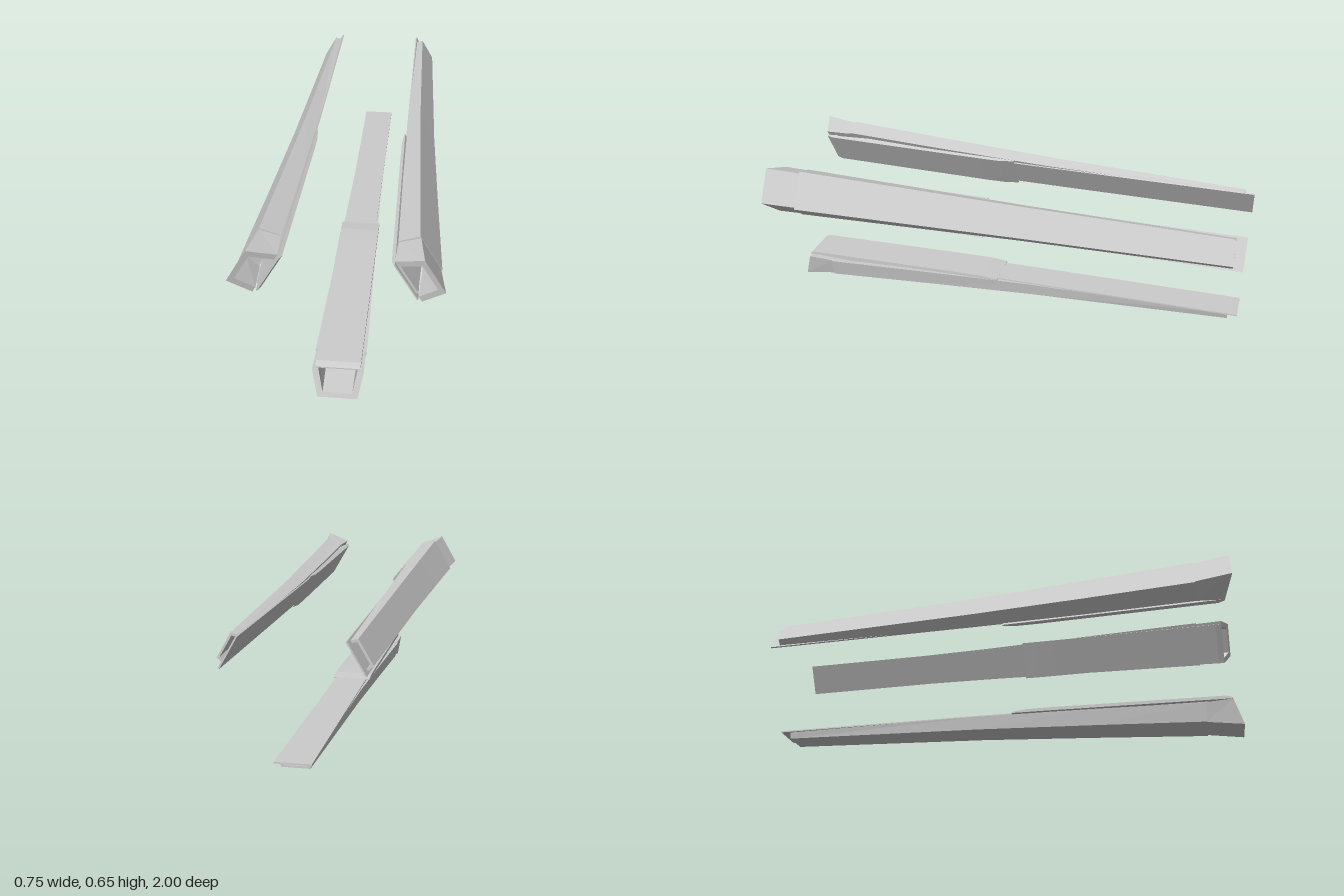
import * as THREE from 'three';

const material = new THREE.MeshStandardMaterial({ color: 0xcccccc, flatShading: true, side: THREE.DoubleSide });

// Skins matching cross-sections (arrays of [x, y, z], counter-clockwise from the front), front to back, with end caps.
function loft(name, sections) {
  const pos = [];
  const n = sections[0].length;
  const tri = (a, b, c) => pos.push(...a, ...b, ...c);
  for (let s = 0; s < sections.length - 1; s++) {
    const f = sections[s], b = sections[s + 1];
    for (let i = 0; i < n; i++) {
      const j = (i + 1) % n;
      tri(f[i], b[i], b[j]);
      tri(f[i], b[j], f[j]);
    }
  }
  const cap = (sec, flip) => {
    const flat = sec.map(p => new THREE.Vector2(p[0], p[1]));
    for (const [a, b, c] of THREE.ShapeUtils.triangulateShape(flat, [])) {
      if (flip) tri(sec[a], sec[c], sec[b]); else tri(sec[a], sec[b], sec[c]);
    }
  };
  cap(sections[0], false);
  cap(sections[sections.length - 1], true);
  const geo = new THREE.BufferGeometry();
  geo.setAttribute('position', new THREE.Float32BufferAttribute(pos, 3));
  geo.computeVertexNormals();
  const mesh = new THREE.Mesh(geo, material);
  mesh.name = name;
  return mesh;
}

// Open U-shaped section: floor half-width w at y, rim half-width W at Y, wall thickness t, leaning from z to zTop.
function trough(z, w, y, W, Y, t, zTop = z) {
  const k = z + (zTop - z) * t / (Y - y);
  return [
    [-w, y, z], [w, y, z], [W, Y, zTop], [W - t * 1.2, Y, zTop],
    [w - t, y + t, k], [-w + t, y + t, k], [-W + t * 1.2, Y, zTop], [-W, Y, zTop],
  ];
}

// Flat strip section between y0 and y1.
const strip = (z, w, y0, y1) => [[-w, y0, z], [w, y0, z], [w, y1, z], [-w, y1, z]];

function makeRail() {
  const rail = new THREE.Group();
  rail.add(
    // flared muzzle with a slanted open mouth
    loft('frontCollar', [
      trough(1, 0.075, 0, 0.096, 0.105, 0.02, 0.965),
      trough(0.85, 0.073, 0.022, 0.093, 0.1, 0.016),
    ]),
    // long tapering channel
    loft('housing', [
      trough(0.855, 0.081, 0.02, 0.097, 0.098, 0.018),
      trough(0.4, 0.073, 0.046, 0.086, 0.114, 0.015),
      trough(-0.1, 0.064, 0.072, 0.073, 0.127, 0.012),
      trough(-0.96, 0.053, 0.104, 0.06, 0.133, 0.008),
    ]),
    // core strip closing the channel under the plates
    loft('coreStrip', [
      strip(0.95, 0.067, 0.104, 0.117),
      strip(0.6, 0.064, 0.088, 0.122),
      strip(0, 0.054, 0.096, 0.129),
      strip(-0.9, 0.042, 0.116, 0.132),
    ]),
    // narrow plate running to the tail
    loft('rearPlate', [
      strip(0.3, 0.068, 0.123, 0.13),
      strip(-0.1, 0.068, 0.128, 0.133),
      strip(-1, 0.068, 0.131, 0.137),
    ]),
    // wide plate, bevelled at the front and stepping down at the back
    loft('frontPlate', [
      strip(0.965, 0.083, 0.112, 0.117),
      strip(0.94, 0.083, 0.112, 0.126),
      strip(0.2, 0.083, 0.125, 0.139),
      strip(0.115, 0.083, 0.126, 0.139),
      strip(0.05, 0.083, 0.127, 0.132),
    ]),
  );
  return rail;
}

export function createModel() {
  const model = new THREE.Group();
  const radius = 0.391;
  // three identical rails around a shared axis
  ['bottomRail', 'upperLeftRail', 'upperRightRail'].forEach((name, i) => {
    const rail = makeRail();
    rail.children.forEach(m => { m.position.y = -radius; });
    rail.position.y = radius;
    rail.rotation.z = i * Math.PI * 2 / 3;
    rail.name = name;
    model.add(rail);
  });
  return model;
}
